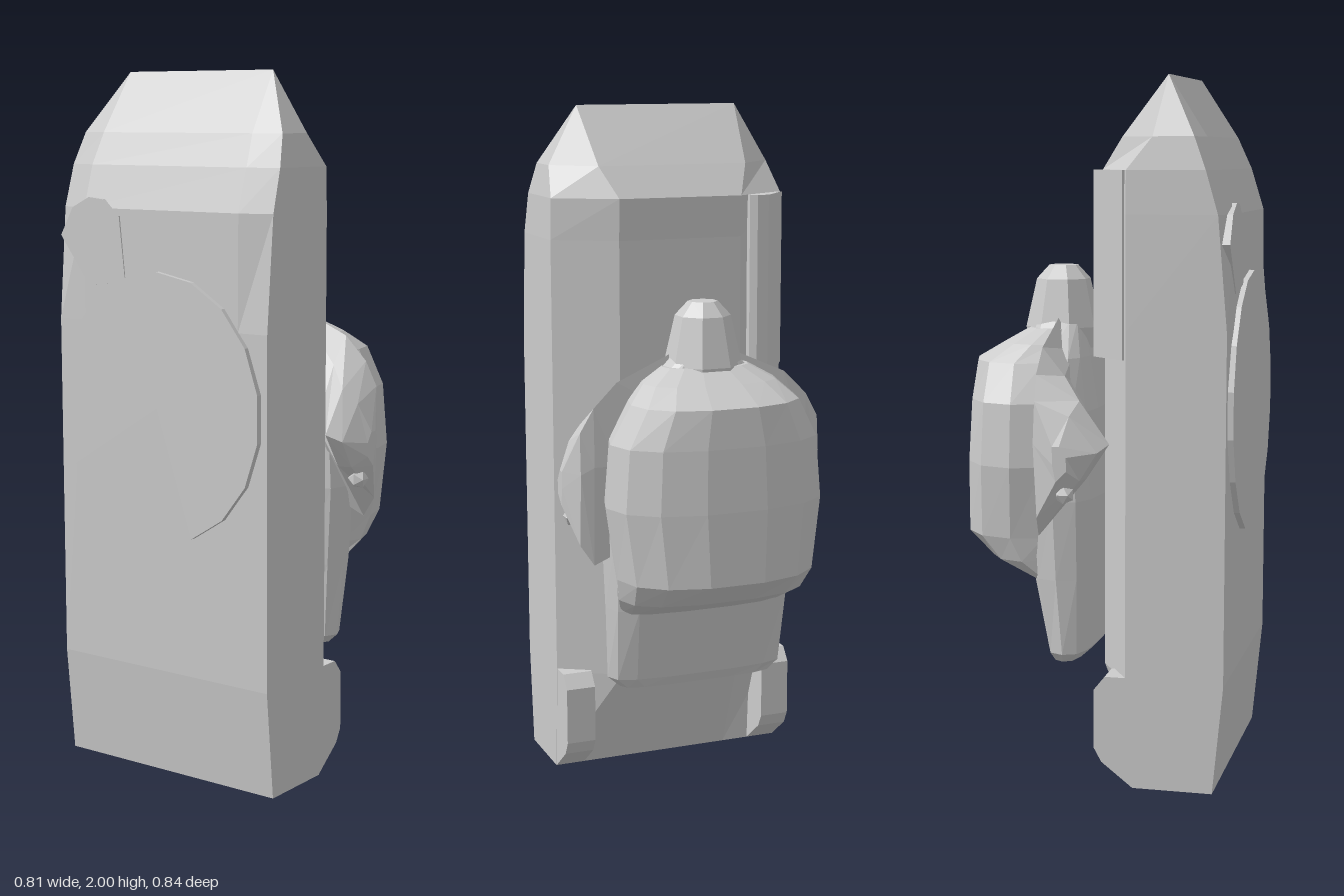
import * as THREE from 'three';

const material = new THREE.MeshStandardMaterial({ color: 0xcccccc, flatShading: true });

function add(parent, name, geometry) {
  const mesh = new THREE.Mesh(geometry, material);
  mesh.name = name;
  parent.add(mesh);
  return mesh;
}

// Closed skin over equal-length rings of [x, y, z], capped at both ends
function loft(rings) {
  const n = rings[0].length, pos = [], idx = [];
  rings.forEach(r => r.forEach(p => pos.push(...p)));
  for (let i = 0; i < rings.length - 1; i++) {
    for (let j = 0; j < n; j++) {
      const a = i * n + j, b = i * n + (j + 1) % n;
      idx.push(a, b, b + n, a, b + n, a + n);
    }
  }
  const last = (rings.length - 1) * n;
  for (let j = 1; j < n - 1; j++) {
    idx.push(0, j + 1, j);
    idx.push(last, last + j, last + j + 1);
  }
  const g = new THREE.BufferGeometry();
  g.setAttribute('position', new THREE.Float32BufferAttribute(pos, 3));
  g.setIndex(idx);
  const flat = g.toNonIndexed();
  flat.computeVertexNormals();
  return flat;
}

const mirrorRings = rings => rings.slice().reverse().map(r => r.map(([x, y, z]) => [-x, y, z]));

function addPair(parent, name, rings) {
  add(parent, name + 'Left', loft(rings));
  add(parent, name + 'Right', loft(mirrorRings(rings)));
}

// Rounded horizontal ring; power below 1 makes it squarer
function roundRing(y, w, zf, zb, power = 0.65, n = 14) {
  const soft = v => Math.sign(v) * Math.abs(v) ** power;
  return Array.from({ length: n }, (_, i) => {
    const a = (i + 0.5) / n * Math.PI * 2;
    return [w * soft(Math.sin(a)), y, (zf + zb) / 2 + (zf - zb) / 2 * soft(Math.cos(a))];
  });
}

function makeSlab() {
  const slab = new THREE.Group();
  slab.name = 'slab';

  // height, half width, half front width, front z, front corner z, side back z, back z, half back width
  const levels = [
    [0, 0.365, 0.27, 0.37, 0.37, 0.14, 0.14, 0.19],
    [0.31, 0.365, 0.27, 0.4, 0.4, 0.12, 0.02, 0.19],
    [1.3, 0.365, 0.27, 0.405, 0.402, 0.12, 0.02, 0.19],
    [1.62, 0.365, 0.27, 0.402, 0.375, 0.12, 0.02, 0.19],
    [1.74, 0.362, 0.27, 0.365, 0.34, 0.12, 0.015, 0.19],
    [1.83, 0.345, 0.26, 0.325, 0.305, 0.19, 0.08, 0.23],
    [2, 0.25, 0.25, 0.215, 0.215, 0.215, 0.215, 0.25],
  ];
  add(slab, 'slabBody', loft(levels.map(([y, w, f, zf, zs, zc, zb, b]) => [
    [-f, y, zf], [f, y, zf], [w, y, zs], [w, y, zc],
    [b, y, zb], [-b, y, zb], [-w, y, zc], [-w, y, zs],
  ])));

  // Round plate on the front
  const disc = new THREE.CylinderGeometry(0.35, 0.35, 0.03, 18);
  disc.rotateX(Math.PI / 2).scale(1, 0.38 / 0.35, 1).translate(0, 1.072, 0.404);
  add(slab, 'frontDisc', disc);

  // Raised strip on the upper back
  add(slab, 'backStrip', loft([1.22, 1.74].map(y => [
    [-0.2, y, 0.15], [-0.22, y, 0.02], [-0.24, y, 0.008], [-0.275, y, 0.008], [-0.364, y, 0.11],
  ])));

  // Low lobe on the upper front
  const lobe = new THREE.Shape([[-0.355, 1.54], [-0.25, 1.4], [-0.12, 1.42], [-0.14, 1.6], [-0.2, 1.645], [-0.25, 1.65], [-0.31, 1.62]]
    .map(p => new THREE.Vector2(...p)));
  add(slab, 'frontLobe', new THREE.ExtrudeGeometry(lobe, { depth: 0.045, bevelEnabled: false }).translate(0, 0, 0.362));

  // Feet at the back of the base
  const foot = [[0.11, 0.028], [0.28, 0.028], [0.32, 0.06], [0.32, 0.16], [0, 0.2], [0, 0.14], [0.07, 0.05]];
  addPair(slab, 'foot', [0.275, 0.364].map(x => foot.map(([y, z]) => [x, y, z])));
  return slab;
}

function makeFigure() {
  const figure = new THREE.Group();
  figure.name = 'figure';

  add(figure, 'body', loft([
    roundRing(0.32, 0.24, -0.05, -0.14),
    roundRing(0.35, 0.275, -0.02, -0.155),
    roundRing(0.57, 0.285, -0.005, -0.2),
    roundRing(0.8, 0.295, 0, -0.22),
    roundRing(1.05, 0.27, -0.02, -0.22),
    roundRing(1.2, 0.2, -0.05, -0.24),
    roundRing(1.3, 0.1, -0.08, -0.22),
  ]));

  // Bulging pack on the back
  add(figure, 'backPack', loft([
    roundRing(0.56, 0.25, -0.08, -0.2, 0.8),
    roundRing(0.62, 0.28, -0.07, -0.34, 0.8),
    roundRing(0.69, 0.295, -0.05, -0.42, 0.85),
    roundRing(0.9, 0.325, -0.04, -0.415, 0.85),
    roundRing(1.08, 0.31, -0.05, -0.405, 0.85),
    roundRing(1.19, 0.25, -0.07, -0.395, 0.85),
    roundRing(1.24, 0.2, -0.08, -0.31, 0.85),
    roundRing(1.28, 0.13, -0.09, -0.24, 0.85),
  ]));

  // Tapered head
  const profile = [[0, 1.2], [0.105, 1.22], [0.112, 1.28], [0.08, 1.42], [0.043, 1.46], [0, 1.46]];
  const head = new THREE.LatheGeometry(profile.map(p => new THREE.Vector2(...p)), 8);
  head.rotateY(Math.PI / 8).translate(0, 0, -0.15);
  add(figure, 'head', head);

  // Draped sleeves: sections in y, z from shoulder to elbow
  const sleeve = [
    [0.1, [[1.15, -0.15], [1.31, -0.14], [1.22, -0.09], [1.1, -0.07], [1, -0.09], [0.9, -0.145]]],
    [0.26, [[1, -0.15], [1.24, -0.145], [1.16, -0.08], [1.05, -0.02], [0.95, -0.03], [0.74, -0.14]]],
    [0.33, [[1, -0.15], [1.17, -0.145], [1.1, -0.02], [0.98, 0.066], [0.88, 0], [0.71, -0.14]]],
    [0.37, [[0.98, -0.145], [1.1, -0.14], [1.06, -0.04], [0.96, 0.04], [0.88, -0.01], [0.77, -0.135]]],
    [0.405, [[0.93, -0.08], [0.98, -0.08], [0.98, -0.06], [0.95, -0.04], [0.91, -0.04], [0.88, -0.07]]],
  ];
  addPair(figure, 'sleeve', sleeve.map(([x, pts]) => pts.map(([y, z]) => [x, y, z])));

  // Small hands
  for (const s of [1, -1]) {
    const hand = add(figure, s > 0 ? 'handLeft' : 'handRight', new THREE.IcosahedronGeometry(0.03, 0));
    hand.position.set(s * 0.365, 0.84, -0.055);
  }
  return figure;
}

export function createModel() {
  const model = new THREE.Group();
  model.name = 'slabWithFigure';
  model.add(makeSlab(), makeFigure());
  return model;
}
